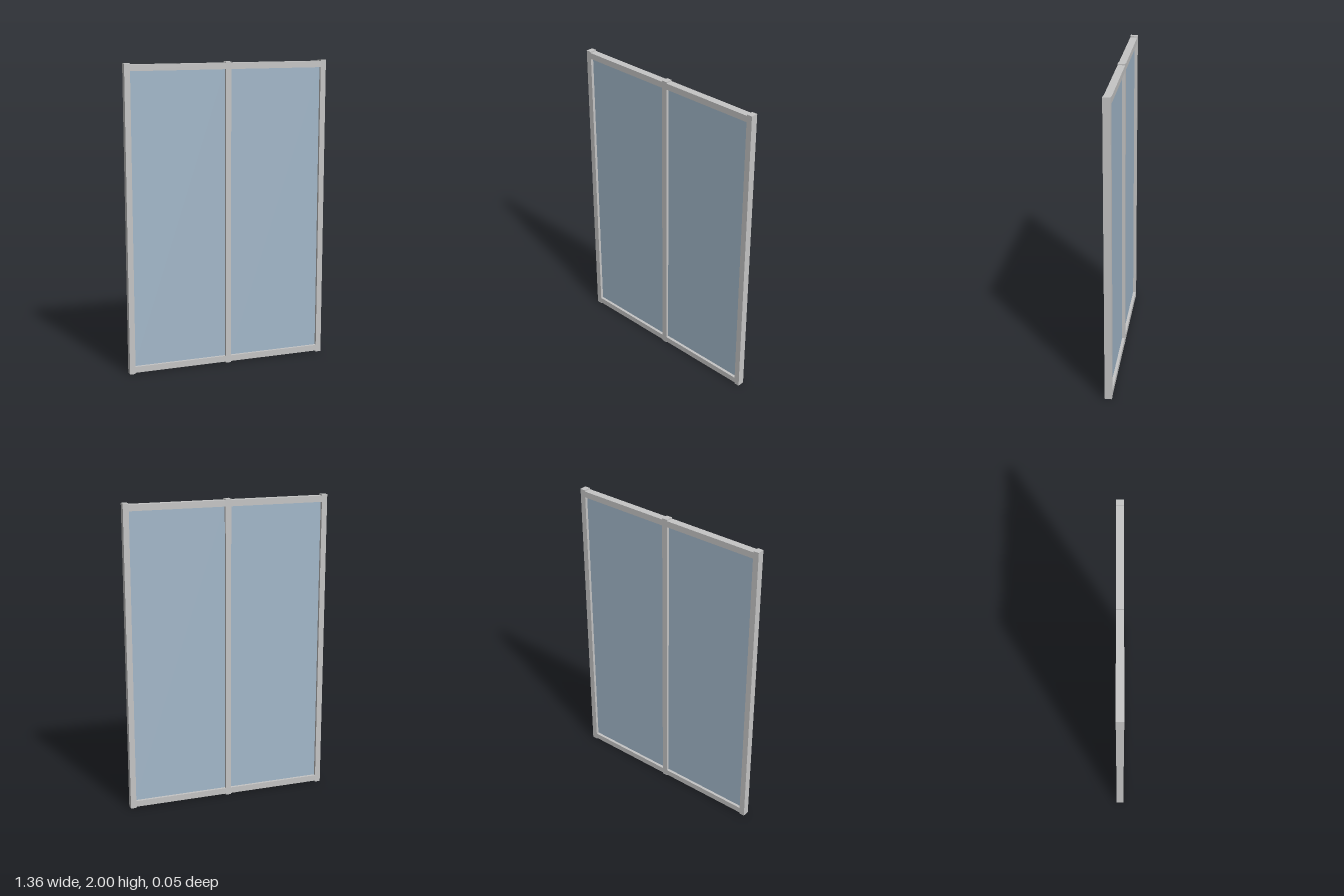
import * as THREE from 'three';

const H = 2, HALF_W = 0.68, DEPTH = 0.047, POST = 0.037;
const INSET = 0.008, RAIL = 0.04, GLASS = 0.01;

export function createModel() {
  const group = new THREE.Group();
  const frame = new THREE.MeshStandardMaterial({ color: 0xc5c5c5 });
  frame.name = 'frame grey';
  const glass = new THREE.MeshStandardMaterial({ color: 0xa3b8ca });
  glass.name = 'glass blue';

  const box = (name, material, w, h, d, x, y) => {
    const mesh = new THREE.Mesh(new THREE.BoxGeometry(w, h, d), material);
    mesh.name = name;
    mesh.position.set(x, y, 0);
    group.add(mesh);
  };

  // Full-height posts, standing slightly proud of the rails at both ends
  const postX = HALF_W - POST / 2;
  box('leftPost', frame, POST, H, DEPTH, postX, H / 2);
  box('centrePost', frame, POST, H, DEPTH, 0, H / 2);
  box('rightPost', frame, POST, H, DEPTH, -postX, H / 2);

  // Rails and a recessed pane in each bay
  const bayW = postX - POST, bayX = postX / 2;
  const paneH = H - 2 * (INSET + RAIL);
  for (const [side, s] of [['left', 1], ['right', -1]]) {
    box(side + 'BottomRail', frame, bayW, RAIL, DEPTH, s * bayX, INSET + RAIL / 2);
    box(side + 'TopRail', frame, bayW, RAIL, DEPTH, s * bayX, H - INSET - RAIL / 2);
    box(side + 'Pane', glass, bayW, paneH, GLASS, s * bayX, H / 2);
  }
  return group;
}
